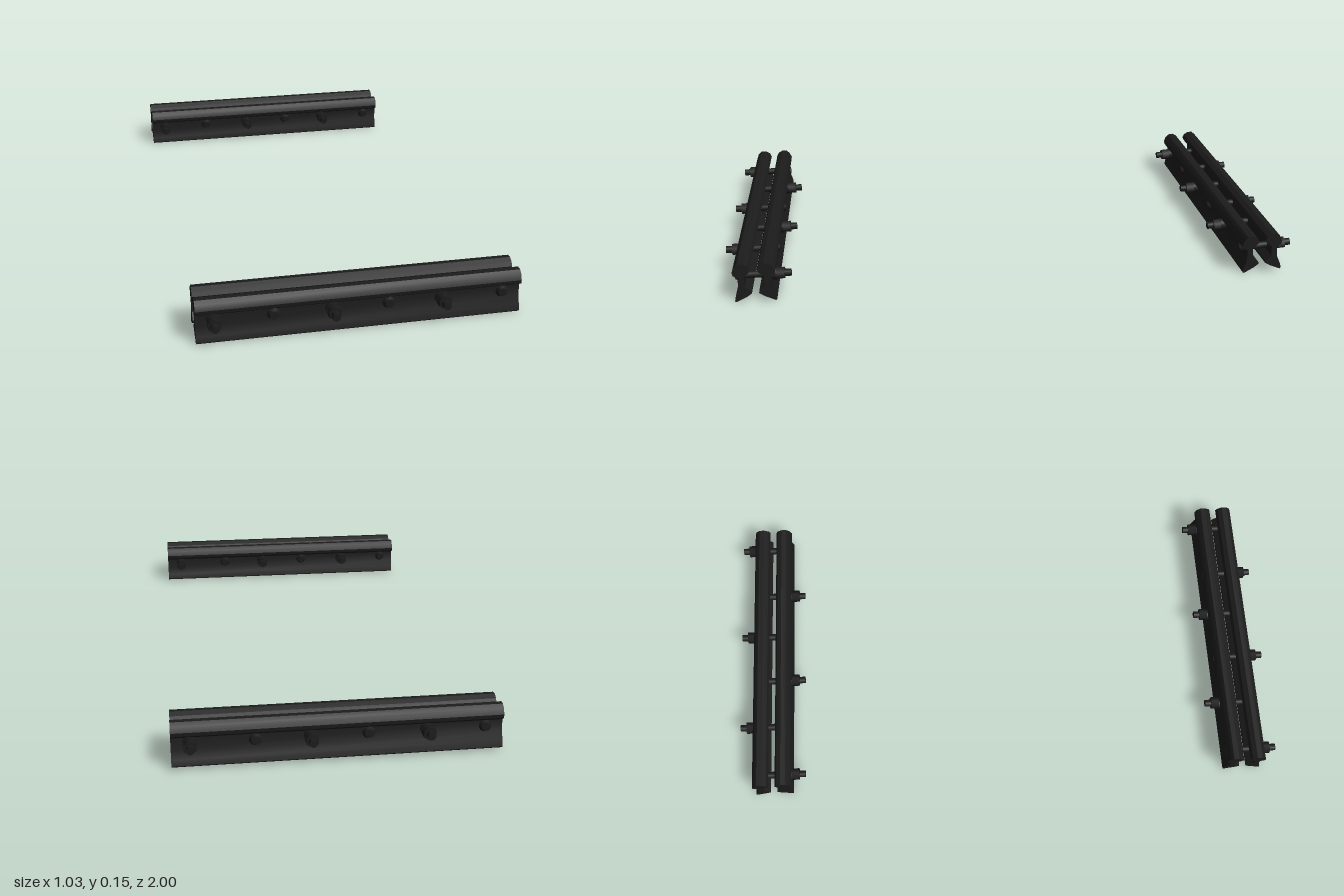
import * as THREE from 'three';
import { toCreasedNormals } from 'three/addons/utils/BufferGeometryUtils.js';

const steel = new THREE.MeshStandardMaterial({ color: 0x1c1c1c });
steel.name = 'dark steel';

const LENGTH = 1.03;
const BOLT_Y = 0.073;
const BOLT_X = [-0.46, -0.275, -0.092, 0.088, 0.258, 0.457];

// Bar cross-section: distance out from the pair's centre, height
const PROFILE = [
  [0.066, 0], [0.07, 0.004], [0.066, 0.022], [0.055, 0.05], [0.054, 0.09],
  [0.069, 0.1], [0.071, 0.112], [0.064, 0.13], [0.052, 0.141], [0.034, 0.142],
  [0.018, 0.132], [0.0115, 0.119], [0.018, 0.106], [0.034, 0.093], [0.034, 0.056],
  [0.013, 0.037], [0.012, 0.03], [0.03, 0.018],
];

function barGeometry() {
  const shape = new THREE.Shape(PROFILE.map(([u, y]) => new THREE.Vector2(u, y)));
  const geo = new THREE.ExtrudeGeometry(shape, { depth: LENGTH, bevelEnabled: false });
  geo.translate(0, 0, -LENGTH / 2).rotateY(-Math.PI / 2);
  return toCreasedNormals(geo, 0.5);
}

// Round or hexagonal piece along z, from z0 to z1
function rod(name, radius, z0, z1, sides, radiusEnd = radius) {
  const geo = new THREE.CylinderGeometry(radiusEnd, radius, z1 - z0, sides);
  geo.rotateX(Math.PI / 2).translate(0, 0, (z0 + z1) / 2);
  const mesh = new THREE.Mesh(geo, steel);
  mesh.name = name;
  return mesh;
}

// Bolt with its nut on the +z side and a low head on the other
function makeBolt() {
  const bolt = new THREE.Group();
  bolt.name = 'trackBolt';
  bolt.add(
    rod('boltShank', 0.0125, -0.056, 0.12, 16),
    rod('washer', 0.022, 0.053, 0.07, 20),
    rod('nut', 0.022, 0.07, 0.098, 6),
    rod('boltHead', 0.014, -0.068, -0.053, 16, 0.021),
  );
  return bolt;
}

// Two facing bars clamped by six bolts in alternating directions
function makePair(name) {
  const pair = new THREE.Group();
  pair.name = name;
  const geo = barGeometry();
  for (const [barName, turn] of [['outerBar', 0], ['innerBar', Math.PI]]) {
    const bar = new THREE.Mesh(geo, steel);
    bar.name = barName;
    bar.rotation.y = turn;
    pair.add(bar);
  }
  BOLT_X.forEach((x, i) => {
    const bolt = makeBolt();
    bolt.position.set(x, BOLT_Y, 0);
    bolt.rotation.y = i % 2 ? Math.PI : 0;
    pair.add(bolt);
  });
  return pair;
}

export function createModel() {
  const model = new THREE.Group();
  model.name = 'railJointBars';
  const front = makePair('frontJoint');
  front.position.z = 0.88;
  // The rear joint leans and turns very slightly
  const rear = makePair('rearJoint');
  rear.position.set(0, 0.003, -0.885);
  rear.rotation.set(0.075, 0.007, 0);
  model.add(front, rear);
  return model;
}
